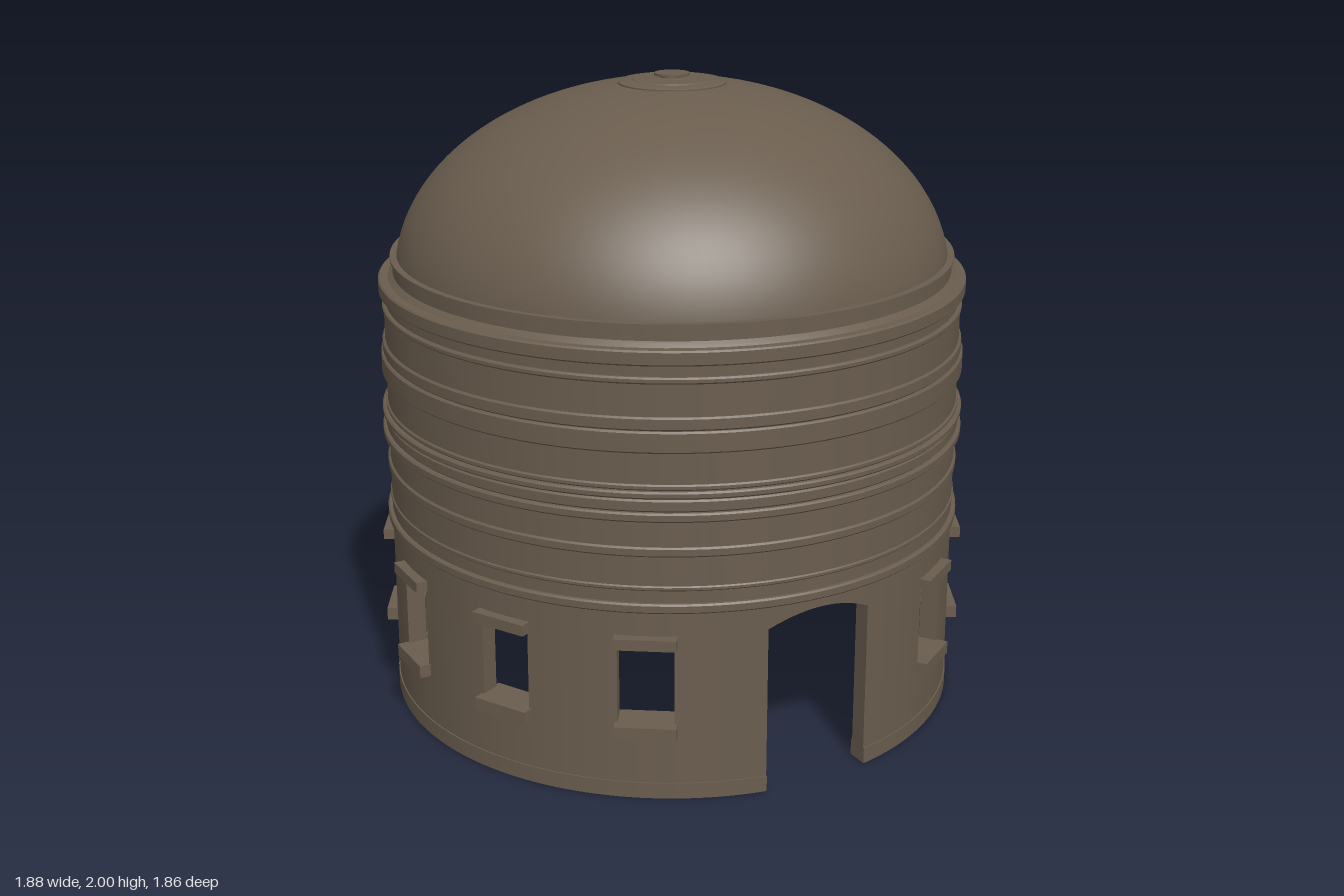
import * as THREE from 'three';
import { toCreasedNormals } from 'three/addons/utils/BufferGeometryUtils.js';

const stone = new THREE.MeshStandardMaterial({ color: 0x6a5d4e });
const R = 0.912, INNER = 0.853, WALL_TOP = 0.6;
const DOOR = 0.173, WINDOW = 0.084, SILL = 0.24, HEAD = 0.49;
const STEP = THREE.MathUtils.degToRad(28.2);

function add(parent, name, geometry) {
  const mesh = new THREE.Mesh(geometry, stone);
  mesh.name = name;
  parent.add(mesh);
  return mesh;
}

function lathe(points, segments = 96) {
  const geo = new THREE.LatheGeometry(points.map(([r, y]) => new THREE.Vector2(r, y)), segments);
  return toCreasedNormals(geo, 0.5);
}

// Curved block: a box bent around the axis; start and end angles depend on the radius,
// so the reveals of each opening stay parallel.
function curvedBlock(start, end, bottom, top, r0 = INNER, r1 = R) {
  const geo = new THREE.BoxGeometry(1, 1, 1, 14, 1, 1);
  const p = geo.attributes.position;
  for (let i = 0; i < p.count; i++) {
    const r = THREE.MathUtils.lerp(r0, r1, p.getZ(i) + 0.5);
    const a = THREE.MathUtils.lerp(start(r), end(r), p.getX(i) + 0.5);
    const x = r * Math.sin(a), z = r * Math.cos(a);
    p.setXYZ(i, x, p.getY(i) > 0 ? top : typeof bottom === 'function' ? bottom(x) : bottom, z);
  }
  geo.computeVertexNormals();
  return geo;
}

// Openings around the drum: a door at front and back, five windows on each side
function makeOpenings() {
  const list = [];
  for (const side of [0, 1]) {
    const base = side * Math.PI;
    list.push({ angle: base, half: DOOR, door: true });
    for (let k = -2; k <= 2; k++) list.push({ angle: base + Math.PI / 2 + k * STEP, half: WINDOW });
  }
  return list;
}

export function createModel() {
  const model = new THREE.Group();
  model.name = 'domedRotunda';
  const openings = makeOpenings();
  const archBottom = (x) => 0.525 + 0.043 * (1 - (x / DOOR) ** 2);

  const lowerWall = new THREE.Group();
  lowerWall.name = 'lowerWall';
  model.add(lowerWall);

  openings.forEach((o, i) => {
    const next = openings[(i + 1) % openings.length];
    const nextAngle = next.angle + (i === openings.length - 1 ? 2 * Math.PI : 0);
    const left = (r) => o.angle - Math.asin(o.half / r);
    const right = (r) => o.angle + Math.asin(o.half / r);
    const pierEnd = (r) => nextAngle - Math.asin(next.half / r);

    // Solid pier up to the next opening, with its low plinth
    add(lowerWall, 'pier', curvedBlock(right, pierEnd, 0, WALL_TOP));
    add(lowerWall, 'plinth', curvedBlock(right, pierEnd, 0, 0.05, INNER - 0.006, R + 0.004));

    if (o.door) {
      add(lowerWall, 'doorArch', curvedBlock(left, right, archBottom, WALL_TOP));
      return;
    }
    add(lowerWall, 'windowApron', curvedBlock(left, right, 0, SILL));
    add(lowerWall, 'windowPlinth', curvedBlock(left, right, 0, 0.05, INNER - 0.006, R + 0.004));
    add(lowerWall, 'windowHead', curvedBlock(left, right, HEAD, WALL_TOP));

    // Projecting sill and lintel, showing inside and out
    const frame = new THREE.Group();
    frame.name = 'windowFrame';
    frame.rotation.y = o.angle;
    add(frame, 'sill', new THREE.BoxGeometry(0.185, 0.04, 0.115)).position.set(0, 0.222, 0.885);
    add(frame, 'lintel', new THREE.BoxGeometry(0.185, 0.034, 0.115)).position.set(0, 0.506, 0.885);
    model.add(frame);
  });

  // Upper drum: a hollow cylinder
  add(model, 'upperDrum', lathe([
    [INNER, WALL_TOP], [R, WALL_TOP], [R, 1.3], [0.905, 1.3], [0.905, 1.38], [INNER, 1.38], [INNER, WALL_TOP],
  ]));

  // String courses: [bottom, top, outer radius]
  const courses = [
    [0.598, 0.628, 0.926], [0.665, 0.68, 0.916], [0.77, 0.8, 0.919], [0.88, 0.908, 0.93],
    [0.908, 0.945, 0.92], [0.95, 0.972, 0.929], [0.972, 0.99, 0.918], [1.085, 1.15, 0.926],
    [1.15, 1.19, 0.92], [1.285, 1.305, 0.917], [1.34, 1.385, 0.926],
  ];
  for (const [y0, y1, r] of courses) {
    const b = Math.min(0.005, (y1 - y0) / 4), inner = INNER - (r - R) * 0.5;
    add(model, 'stringCourse', lathe([
      [inner, y0], [r - b, y0], [r, y0 + b], [r, y1 - b], [r - b, y1], [inner, y1], [inner, y0],
    ]));
  }

  // Stepped collar beneath the dome
  add(model, 'domeCollar', lathe([
    [0.84, 1.38], [0.9, 1.38], [0.886, 1.395], [0.88, 1.4], [0.88, 1.44], [0.887, 1.442],
    [0.887, 1.45], [0.84, 1.45], [0.84, 1.38],
  ]));

  // Dome shell: outer curve up, inner curve back down
  const shell = [];
  const N = 28;
  for (let i = 0; i <= N; i++) {
    const a = (i / N) * Math.PI / 2;
    shell.push([0.872 * Math.cos(a), 1.38 + 0.6 * Math.sin(a)]);
  }
  for (let i = N; i >= 0; i--) {
    const a = (i / N) * Math.PI / 2;
    shell.push([0.835 * Math.cos(a), 1.38 + 0.565 * Math.sin(a)]);
  }
  shell.push([0.872, 1.38]);
  add(model, 'dome', lathe(shell));

  // Crown: shallow stepped disc with a small spool-shaped finial
  add(model, 'crownDisc', lathe([
    [0.168, 1.95], [0.168, 1.973], [0.16, 1.977], [0.125, 1.979], [0.12, 1.983], [0.08, 1.984], [0, 1.985],
  ], 48));
  add(model, 'finial', lathe([
    [0.055, 1.975], [0.055, 1.984], [0.04, 1.987], [0.04, 1.99], [0.055, 1.993], [0.055, 2], [0, 2],
  ], 32));

  return model;
}
